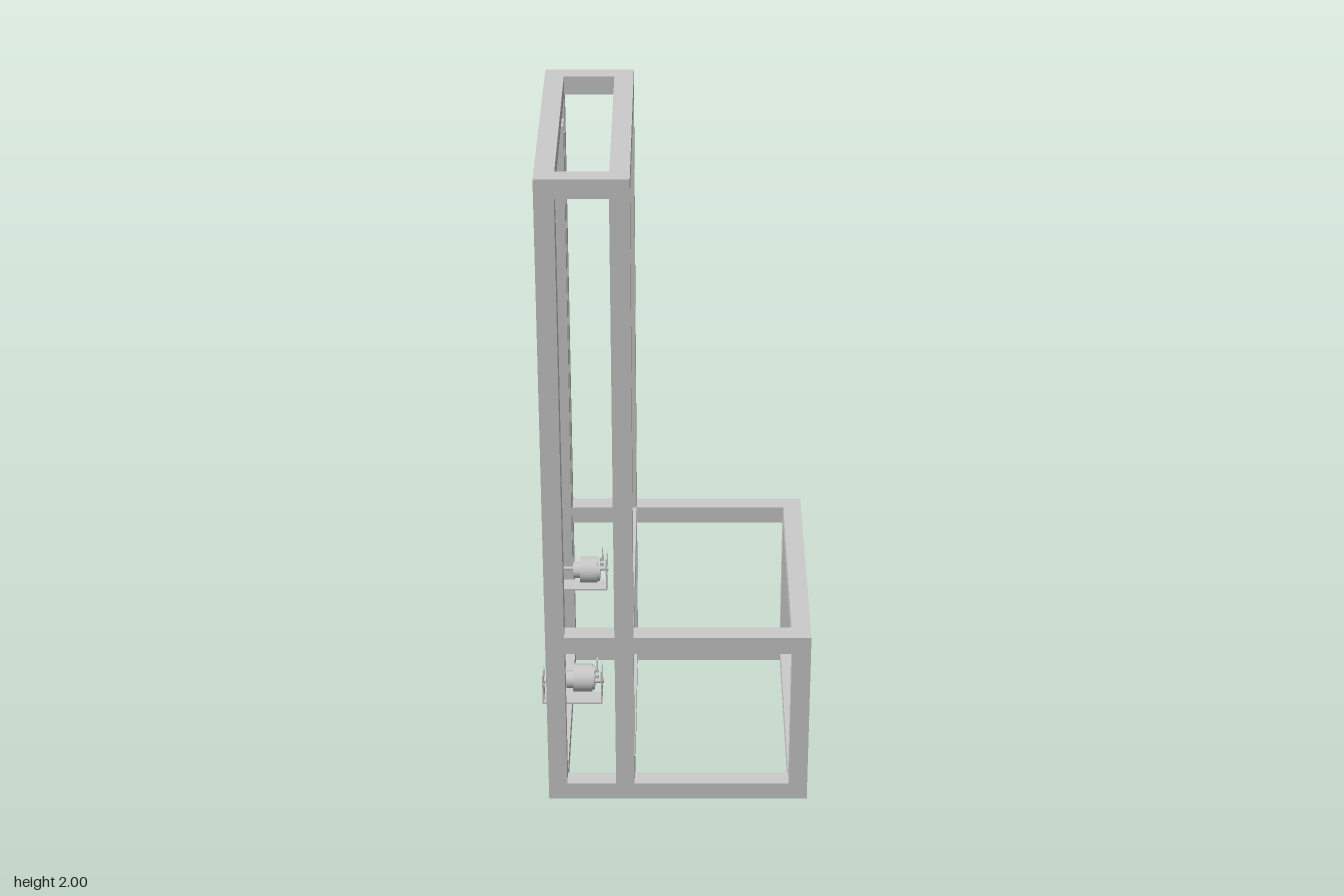
import * as THREE from 'three';

const material = new THREE.MeshStandardMaterial({ color: 0xcccccc, side: THREE.DoubleSide });

function add(parent, name, geometry, x = 0, y = 0, z = 0) {
  const mesh = new THREE.Mesh(geometry, material);
  mesh.name = name;
  mesh.position.set(x, y, z);
  parent.add(mesh);
  return mesh;
}

// Box given by its limits on each axis
function block(parent, name, [x0, x1], [y0, y1], [z0, z1]) {
  return add(parent, name, new THREE.BoxGeometry(x1 - x0, y1 - y0, z1 - z0),
    (x0 + x1) / 2, (y0 + y1) / 2, (z0 + z1) / 2);
}

// Cylinder lying along x
function drum(parent, name, radius, [x0, x1], y, z, sides = 32) {
  const g = new THREE.CylinderGeometry(radius, radius, x1 - x0, sides).rotateZ(Math.PI / 2);
  return add(parent, name, g, (x0 + x1) / 2, y, z);
}

const T = 0.055;                       // bar thickness
const BACK = -0.365, MID = -0.165, FRONT = 0.348;   // low x of each row of posts
const DEPTH = 0.4, LOW = 0.57, HIGH = 2;

function buildFrame() {
  const frame = new THREE.Group();
  frame.name = 'frame';
  const posts = [[BACK, HIGH], [MID, HIGH], [FRONT, LOW]];
  for (const s of [-1, 1]) {
    const z = s > 0 ? [DEPTH - T, DEPTH] : [-DEPTH, -DEPTH + T];
    for (const [x, top] of posts) block(frame, 'post', [x, x + T], [0, top], z);
    // side rails between the posts
    for (const [a, b, y] of [[BACK, MID, 0], [MID, FRONT, 0], [BACK, MID, LOW - T],
      [MID, FRONT, LOW - T], [BACK, MID, HIGH - T]]) {
      block(frame, 'sideBar', [a + T, b], [y, y + T], z);
    }
  }
  // cross bars joining the two sides
  for (const [x, y] of [[BACK, 0], [MID, 0], [FRONT, 0], [MID, LOW - T], [FRONT, LOW - T],
    [BACK, HIGH - T], [MID, HIGH - T]]) {
    block(frame, 'crossBar', [x, x + T], [y, y + T], [-DEPTH + T, DEPTH - T]);
  }
  return frame;
}

// Vertical channel with a slot facing the front, fixed inside the back post
function buildRail() {
  const rail = new THREE.Group();
  rail.name = 'liftRail';
  const y = [0.4, 1.87];
  block(rail, 'railWeb', [-0.36, -0.352], y, [0.287, 0.345]);
  block(rail, 'railOuterWall', [-0.352, -0.312], y, [0.337, 0.345]);
  block(rail, 'railInnerWall', [-0.352, -0.312], y, [0.287, 0.295]);
  block(rail, 'railOuterLip', [-0.32, -0.312], y, [0.322, 0.337]);
  block(rail, 'railInnerLip', [-0.32, -0.312], y, [0.295, 0.309]);
  block(rail, 'railEndPlate', [-0.32, -0.312], [1.82, 1.87], [0.309, 0.322]);
  drum(rail, 'railScrew', 0.004, [-0.314, -0.309], 1.84, 0.315, 12);
  drum(rail, 'leadScrew', 0.006, [-0.38, -0.29], 0.365, 0.315, 16);
  return rail;
}

// Upright plate in the y-z plane, pierced by a ring of holes
function platePierced(height) {
  const s = new THREE.Shape();
  s.moveTo(-0.029, 0.305).lineTo(0.029, 0.305).lineTo(0.029, height).lineTo(-0.029, height).closePath();
  const holes = [[0, 0.365, 0.008], [0.016, 0.365, 0.004], [-0.016, 0.365, 0.004],
    [0, 0.383, 0.004], [0, 0.347, 0.004], [0.02, 0.32, 0.004], [-0.02, 0.32, 0.004]];
  for (const [x, y, r] of holes) {
    s.holes.push(new THREE.Path().absarc(x, y, r, 0, Math.PI * 2, true));
  }
  const g = new THREE.ExtrudeGeometry(s, { depth: 0.004, bevelEnabled: false, curveSegments: 10 });
  return g.rotateY(Math.PI / 2);
}

function buildDrive() {
  const drive = new THREE.Group();
  drive.name = 'motorDrive';
  // U-shaped bracket
  block(drive, 'bracketBase', [-0.38, -0.204], [0.301, 0.306], [0.286, 0.344]);
  add(drive, 'bracketBackPlate', platePierced(0.4), -0.38, 0, 0.315);
  add(drive, 'bracketFrontPlate', platePierced(0.415), -0.208, 0, 0.315);
  // motor
  drum(drive, 'gearHousing', 0.026, [-0.31, -0.288], 0.365, 0.307);
  drum(drive, 'motorBody', 0.041, [-0.288, -0.234], 0.368, 0.303);
  drum(drive, 'motorCap', 0.036, [-0.234, -0.226], 0.368, 0.303);
  drum(drive, 'motorShaft', 0.007, [-0.226, -0.2], 0.365, 0.315, 16);
  for (const z of [0.3, 0.33]) block(drive, 'terminal', [-0.226, -0.214], [0.385, 0.395], [z - 0.003, z + 0.003]);
  block(drive, 'contactTab', [-0.22, -0.216], [0.4, 0.442], [0.31, 0.322]);
  return drive;
}

// Small limit switch behind the right-hand drive
function buildSwitch() {
  const g = new THREE.Group();
  g.name = 'limitSwitch';
  block(g, 'switchBody', [-0.404, -0.368], [0.39, 0.4], [-0.344, -0.332]);
  for (const x of [-0.394, -0.384]) block(g, 'switchPin', [x - 0.002, x + 0.002], [0.392, 0.396], [-0.332, -0.318]);
  return g;
}

export function createModel() {
  const model = new THREE.Group();
  model.name = 'liftFrame';
  model.add(buildFrame());
  for (const s of [1, -1]) {
    const lift = new THREE.Group();
    lift.name = s > 0 ? 'frontLift' : 'rearLift';
    lift.add(buildRail(), buildDrive());
    lift.scale.z = s;
    model.add(lift);
  }
  model.add(buildSwitch());
  return model;
}
